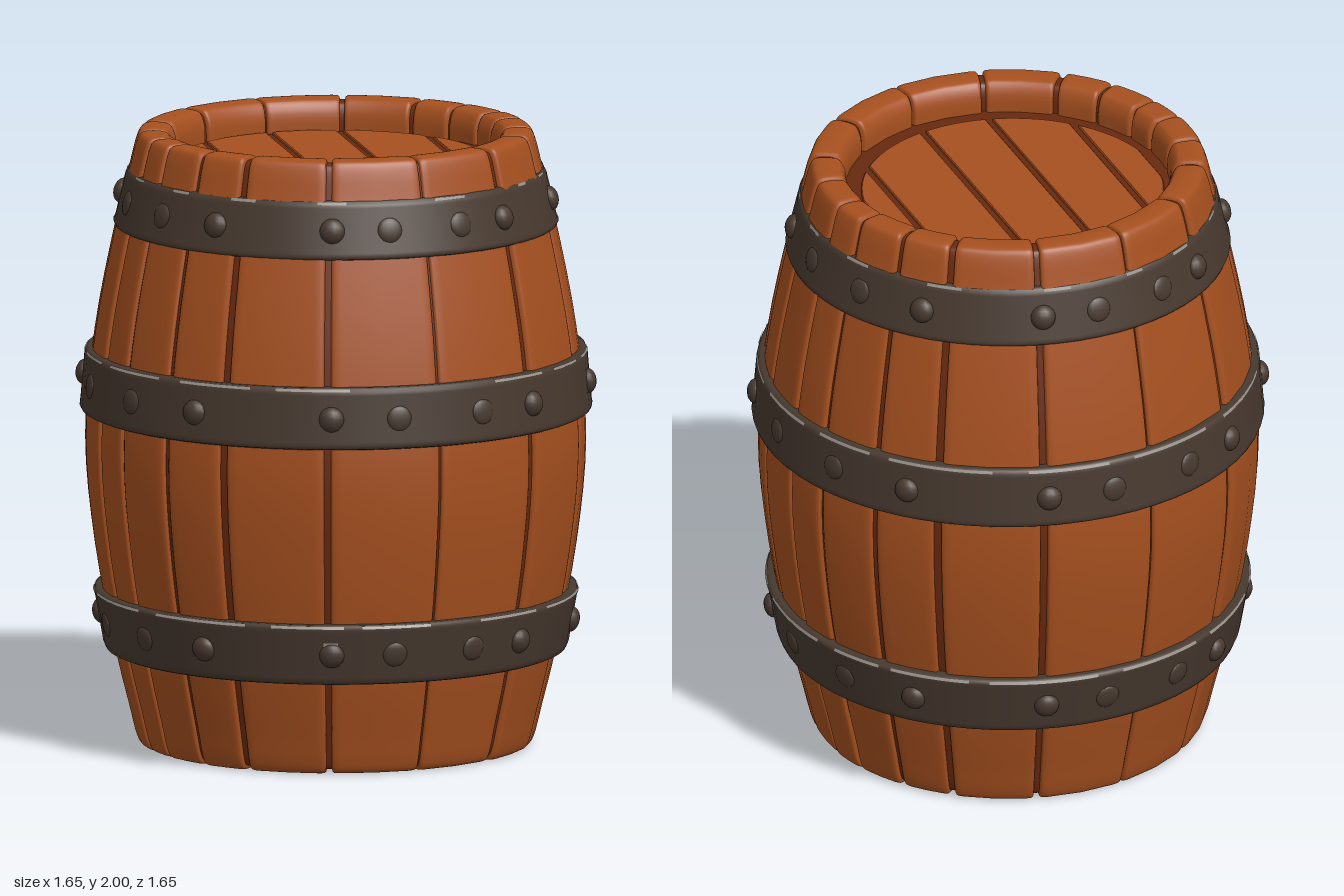
import * as THREE from 'three';

const mat = (name, color, side = THREE.FrontSide) => {
  const m = new THREE.MeshStandardMaterial({ color, side });
  m.name = name;
  return m;
};
const V = (x, y) => new THREE.Vector2(x, y);
const rad = THREE.MathUtils.degToRad;

// small seeded generator
let seed = 7;
const rand = () => (seed = (seed * 16807) % 2147483647) / 2147483647;

// Lower half of a stave profile [radius, y], mirrored about y = 1 and smoothed
function profile(half, samples) {
  const lower = half.map(([r, y]) => new THREE.Vector3(r, y, 0));
  const upper = half.slice(0, -1).reverse().map(([r, y]) => new THREE.Vector3(r, 2 - y, 0));
  const curve = new THREE.CatmullRomCurve3([...lower, ...upper], false, 'centripetal');
  return curve.getPoints(samples).map(p => V(p.x, p.y));
}

// One stave: sweeps the outer profile, sinking to the core profile at both edges
function staveGeometry(outer, core, a0, a1, swell) {
  const edge = [[0, 1], [0.003, 0.4], [0.01, 0.12], [0.024, 0.02], [0.045, 0]];
  const rows = edge.map(([d, w]) => [a0 + d, w]);
  rows.push([(a0 + a1) / 2, 0]);
  [...edge].reverse().forEach(([d, w]) => rows.push([a1 - d, w]));
  const pos = [], idx = [], n = outer.length;
  rows.forEach(([a, w], i) => {
    for (let k = 0; k < n; k++) {
      const r = THREE.MathUtils.lerp(outer[k].x + swell, core[k].x, w);
      const y = THREE.MathUtils.lerp(outer[k].y, core[k].y, w);
      pos.push(r * Math.sin(a), y, r * Math.cos(a));
      if (i < rows.length - 1 && k < n - 1) {
        const p = i * n + k, q = p + n;
        idx.push(p, q, p + 1, q + 1, p + 1, q);
      }
    }
  });
  const g = new THREE.BufferGeometry();
  g.setAttribute('position', new THREE.Float32BufferAttribute(pos, 3));
  g.setIndex(idx);
  g.computeVertexNormals();
  return g;
}

// A strip of a disc between u0 and u1, used for the head boards
function boardGeometry(u0, u1, R) {
  const steps = 14;
  const us = Array.from({ length: steps + 1 }, (_, i) => u0 + (u1 - u0) * i / steps);
  const h = u => Math.sqrt(Math.max(0, R * R - u * u));
  const pts = [...us.map(u => V(u, -h(u))), ...us.reverse().map(u => V(u, h(u)))];
  const s = new THREE.Shape(pts.filter((p, i) => i === 0 || p.distanceTo(pts[i - 1]) > 1e-4));
  const g = new THREE.ExtrudeGeometry(s, {
    depth: 0.014, bevelEnabled: true, bevelThickness: 0.003, bevelSize: 0.003, bevelOffset: -0.003, bevelSegments: 1,
  });
  return g.translate(0, 0, -0.007).rotateX(-Math.PI / 2);
}

export function createModel() {
  const root = new THREE.Group();
  root.name = 'barrel';
  const wood = mat('wood', 0xa6501f);
  const seam = mat('dark seam', 0x68290f);
  const iron = mat('dark iron', 0x47392f);
  const wear = mat('worn metal', 0x96908a, THREE.DoubleSide);
  const add = (parent, name, geometry, material) => {
    const m = new THREE.Mesh(geometry, material);
    m.name = name;
    parent.add(m);
    return m;
  };

  // Staves around a dark core that shows through the gaps
  const outer = profile([[0.522, 0.12], [0.524, 0.045], [0.542, 0.008], [0.56, 0.001], [0.612, 0], [0.629, 0.007],
    [0.641, 0.03], [0.664, 0.12], [0.708, 0.3], [0.775, 0.65], [0.806, 1]], 80);
  const core = profile([[0.536, 0.12], [0.538, 0.055], [0.55, 0.022], [0.563, 0.014], [0.606, 0.013], [0.618, 0.018],
    [0.628, 0.036], [0.65, 0.12], [0.694, 0.3], [0.761, 0.65], [0.792, 1]], 80);
  add(root, 'seamCore', new THREE.LatheGeometry([V(0, 0.065), V(0.538, 0.065), ...core, V(0.538, 1.895), V(0, 1.895)], 64), seam);

  // Joints as [angle, half gap] in one quarter, mirrored to the other three
  const quarter = [[0, 0.005], [27, 0.014], [52, 0.016], [68, 0.011], [84, 0.008]];
  const half = [...quarter, ...quarter.slice(1).reverse().map(([a, g]) => [180 - a, g])];
  const joints = [...half, ...half.map(([a, g]) => [a + 180, g]), [360, 0.005]];
  const staves = new THREE.Group();
  staves.name = 'staves';
  root.add(staves);
  for (let i = 0; i < joints.length - 1; i++) {
    const [a0, g0] = joints[i], [a1, g1] = joints[i + 1];
    add(staves, 'stave', staveGeometry(outer, core, rad(a0) + g0, rad(a1) - g1, (rand() - 0.5) * 0.006), wood);
  }

  // Slanted boards closing both ends, set off-centre in a dark ring
  const R = 0.487, cuts = [-R, -0.35, -0.11, 0.12, 0.38, R];
  for (const [name, y] of [['topHead', 1.894], ['bottomHead', 0.066]]) {
    const head = new THREE.Group();
    head.name = name;
    head.position.set(0, y, -0.026);
    head.rotation.y = rad(-13.3);
    root.add(head);
    for (let i = 0; i < cuts.length - 1; i++) {
      add(head, 'headBoard', boardGeometry(cuts[i] + 0.011, cuts[i + 1] - 0.011, R), wood);
    }
  }

  // Iron hoops: [name, bottom y, top y, bottom radius, top radius, share of worn edge]
  const hoops = [
    ['bottomHoop', 0.31, 0.51, 0.745, 0.78, 0.8],
    ['middleHoop', 1.09, 1.29, 0.825, 0.808, 0.75],
    ['topHoop', 1.69, 1.877, 0.716, 0.672, 0.3],
  ];
  const rivetAngles = [10.5, 26, 59, 79].flatMap(a => [a, 180 - a, 180 + a, 360 - a]);
  for (const [name, y0, y1, r0, r1, worn] of hoops) {
    const hoop = new THREE.Group();
    hoop.name = name;
    root.add(hoop);
    const at = t => r0 + (r1 - r0) * t;
    const yAt = t => y0 + (y1 - y0) * t;
    const section = [
      V(r0 - 0.06, y0), V(r0 - 0.014, y0), V(r0 - 0.004, y0 + 0.004), V(r0, y0 + 0.014), V(at(0.12), yAt(0.12)),
      V(at(0.88), yAt(0.88)), V(r1, y1 - 0.014), V(r1 - 0.004, y1 - 0.004), V(r1 - 0.014, y1), V(r1 - 0.06, y1),
    ];
    add(hoop, 'band', new THREE.LatheGeometry(section, 64), iron);

    // Domed rivets, flatter beside the four axes
    const slope = Math.atan2(r0 - r1, y1 - y0);
    rivetAngles.forEach((a, i) => {
      const pivot = new THREE.Group();
      pivot.name = 'rivetMount';
      pivot.rotation.y = rad(a);
      hoop.add(pivot);
      const rivet = add(pivot, 'rivet', new THREE.SphereGeometry(0.041, 14, 10), iron);
      rivet.scale.z = i < 4 || i >= 12 ? 0.3 : 0.7;
      rivet.position.set(0, yAt(0.5), at(0.5) - 0.003);
      rivet.rotation.x = -slope;
    });

    // Thin scuffed streaks along the upper edge
    const edge = [V(r1 + 0.001, y1 - 0.0115), V(r1 - 0.003, y1 - 0.003)];
    for (let a = rand() * 0.3; a < 6;) {
      const span = 0.25 + rand() * 0.35;
      add(hoop, 'edgeWear', new THREE.LatheGeometry(edge, 10, a, span * worn), wear);
      a += span;
    }
  }

  // A chip on the lowest hoop
  const chip = [V(0.7695, 0.43), V(0.7735, 0.452)];
  add(root, 'chip', new THREE.LatheGeometry(chip, 4, rad(-28), 0.06), wear);

  return root;
}
